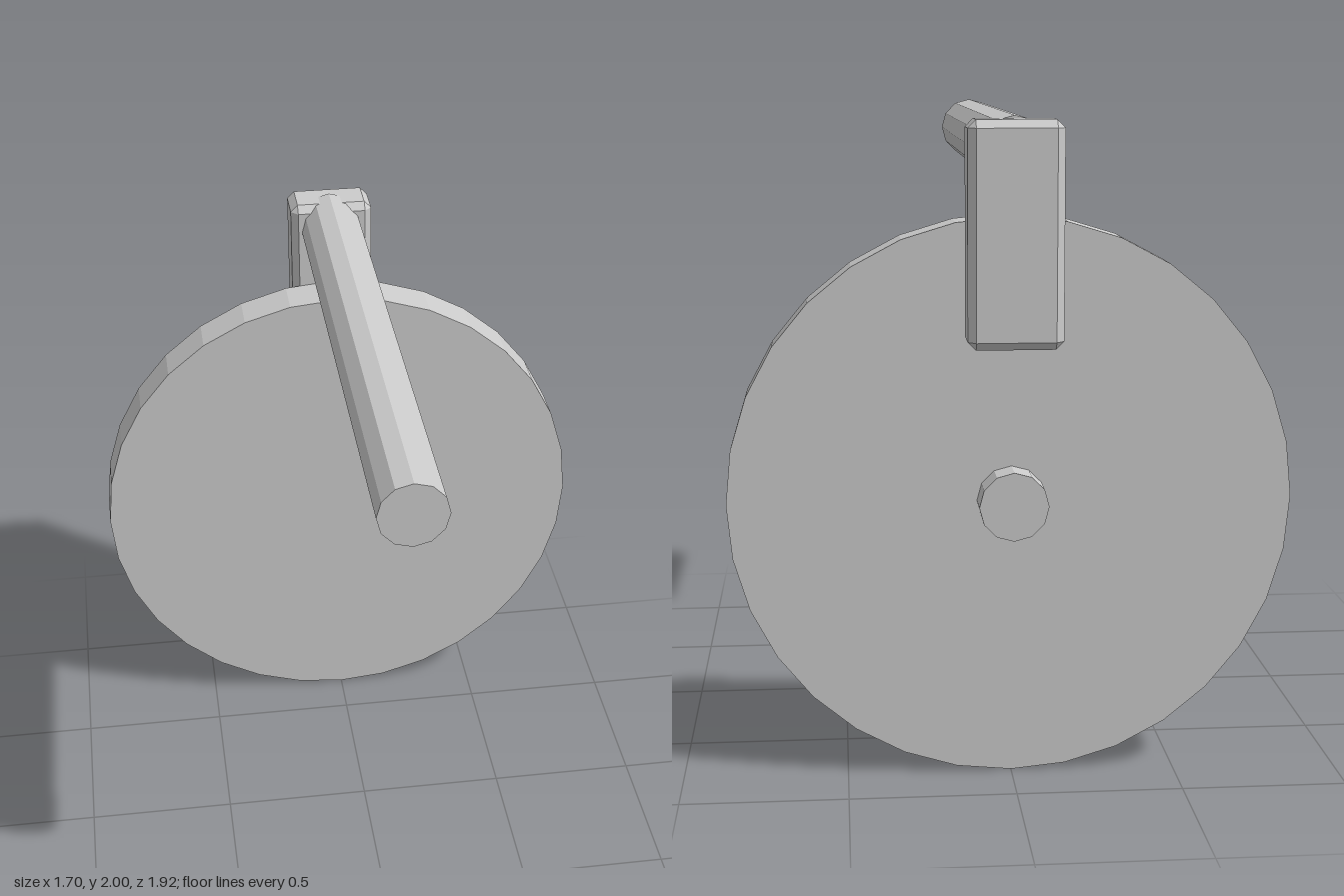
import * as THREE from 'three';
import { ConvexGeometry } from 'three/addons/geometries/ConvexGeometry.js';

const material = new THREE.MeshStandardMaterial({ color: 0xcccccc, flatShading: true });

function addPart(group, name, geometry, x, y, z) {
  const mesh = new THREE.Mesh(geometry, material);
  mesh.name = name;
  mesh.position.set(x, y, z);
  group.add(mesh);
}

// Cylinder lying along z, from zBack to zFront
function addCylinder(group, name, radius, sides, y, zBack, zFront) {
  const geometry = new THREE.CylinderGeometry(radius, radius, zFront - zBack, sides);
  geometry.rotateX(Math.PI / 2);
  addPart(group, name, geometry, 0, y, (zBack + zFront) / 2);
}

// Box with flat bevels on every edge and corner
function chamferedBox(w, h, d, c) {
  const points = [];
  for (const sx of [-1, 1]) for (const sy of [-1, 1]) for (const sz of [-1, 1]) {
    for (let axis = 0; axis < 3; axis++) {
      const p = [w / 2 - c, h / 2 - c, d / 2 - c];
      p[axis] += c;
      points.push(new THREE.Vector3(sx * p[0], sy * p[1], sz * p[2]));
    }
  }
  return new ConvexGeometry(points);
}

export function createModel() {
  const group = new THREE.Group();
  group.name = 'discWithHandle';

  addCylinder(group, 'disc', 0.852, 32, 0.852, -0.8, -0.657);
  // Axle stub behind the disc
  addCylinder(group, 'axle', 0.104, 12, 0.854, -0.9, -0.78);
  // Long rod reaching forward, its back end sunk in the block
  addCylinder(group, 'rod', 0.104, 12, 1.896, -0.88, 0.96);
  addPart(group, 'mountBlock', chamferedBox(0.28, 0.66, 0.16, 0.024), 0, 1.66, -0.88);

  return group;
}
